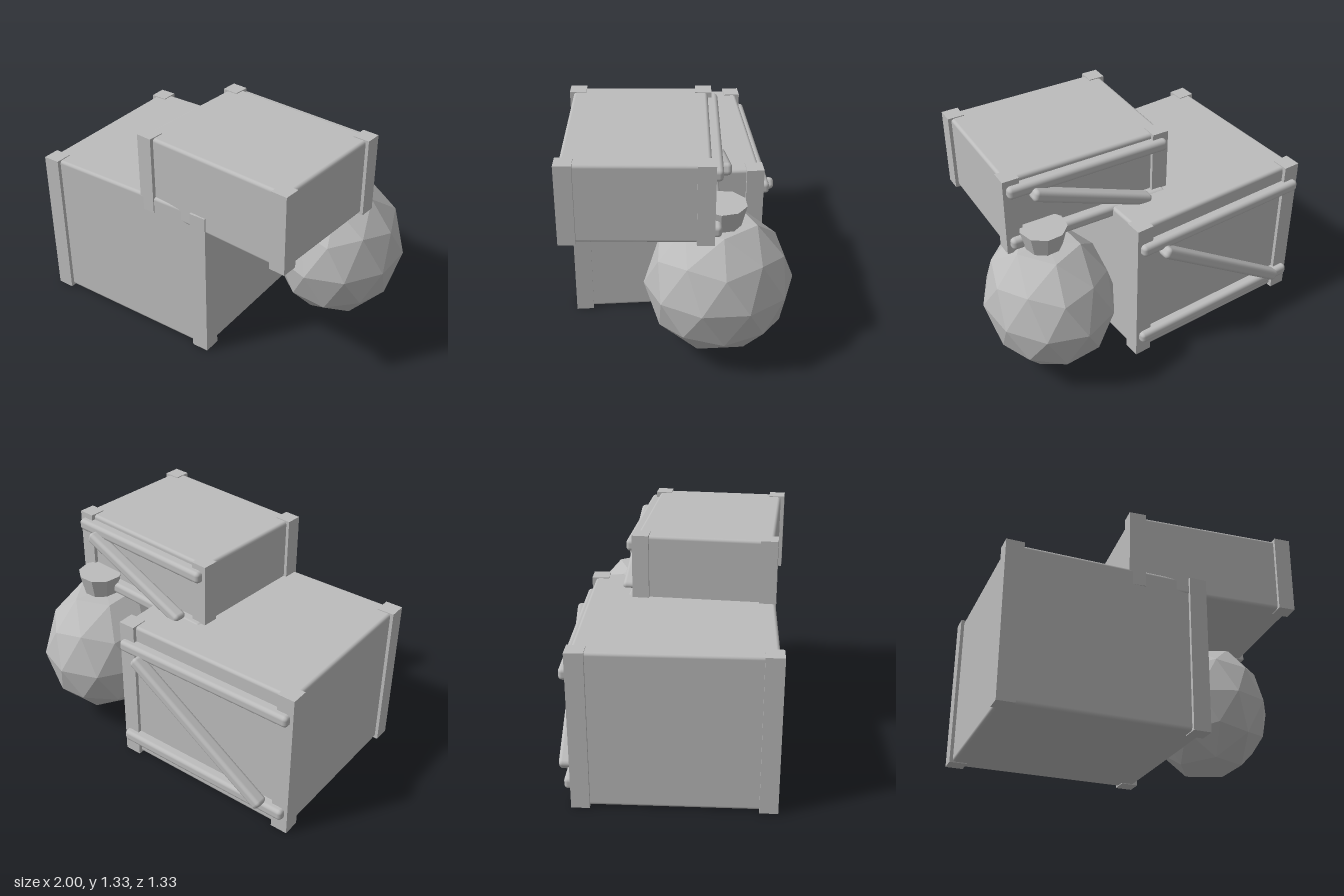
import * as THREE from 'three';
import { RoundedBoxGeometry } from 'three/addons/geometries/RoundedBoxGeometry.js';

const grey = new THREE.MeshStandardMaterial({ color: 0xbcbcbc });
grey.name = 'plain grey';

function add(parent, name, geometry, x = 0, y = 0, z = 0) {
  const mesh = new THREE.Mesh(geometry, grey);
  mesh.name = name;
  mesh.position.set(x, y, z);
  parent.add(mesh);
  return mesh;
}

// Crate centred on its own origin, braced on the back
function crate(name, w, h, d, postW, postD) {
  const group = new THREE.Group();
  group.name = name;
  add(group, 'crateBody', new RoundedBoxGeometry(w - 0.04, h - 0.01, d - 0.045, 2, 0.02));
  for (const sx of [-1, 1]) {
    for (const sz of [-1, 1]) {
      add(group, 'cornerPost', new THREE.BoxGeometry(postW, h, postD),
        sx * (w - postW) / 2, 0, sz * (d - postD) / 2);
    }
  }

  // Two horizontal rails and one diagonal brace
  const back = -d / 2;
  for (const s of [-1, 1]) {
    add(group, 'backRail', new RoundedBoxGeometry(w - 0.04, 0.072, 0.085, 2, 0.024),
      0, s * h * 0.355, back + 0.003);
  }
  const dx = w - 0.3, dy = h * 0.69 - 0.04;
  const brace = add(group, 'diagonalBrace',
    new RoundedBoxGeometry(Math.hypot(dx, dy), 0.07, 0.085, 2, 0.024), 0, 0, back - 0.046);
  brace.rotation.z = Math.atan2(dy, dx);
  return group;
}

// Faceted bag: a low-poly sphere, slightly pinched toward the neck
function sack() {
  const group = new THREE.Group();
  group.name = 'sack';
  const body = new THREE.IcosahedronGeometry(1, 1);
  body.rotateZ(-Math.atan(2 / (1 + Math.sqrt(5))));
  const p = body.attributes.position;
  for (let i = 0; i < p.count; i++) {
    const y = p.getY(i);
    const pinch = 1 - 0.08 * Math.max(0, y);
    const lift = y > 0 ? Math.min(y * 1.08, 0.94) : Math.max(y * 1.04, -1);
    p.setXYZ(i, p.getX(i) * 0.384 * pinch, lift * 0.425, p.getZ(i) * 0.433 * pinch);
  }
  body.computeVertexNormals();
  add(group, 'sackBody', body);

  // Flared, gathered neck
  const neck = new THREE.CylinderGeometry(0.138, 0.102, 0.15, 9).toNonIndexed();
  neck.computeVertexNormals();
  add(group, 'sackNeck', neck, 0.02, 0.445, -0.01);
  return group;
}

export function createModel() {
  const model = new THREE.Group();
  model.name = 'crateStack';

  const large = crate('largeCrate', 1.22, 0.955, 1.155, 0.106, 0.105);
  large.position.set(-0.39, 0.4775, 0.0275);

  const small = crate('smallCrate', 1.045, 0.485, 0.85, 0.1, 0.098);
  small.position.set(0.297, 1.0905, 0.2);
  small.rotation.y = -0.082;

  const bag = sack();
  bag.position.set(0.635, 0.48, -0.235);

  model.add(large, small, bag);
  return model;
}
